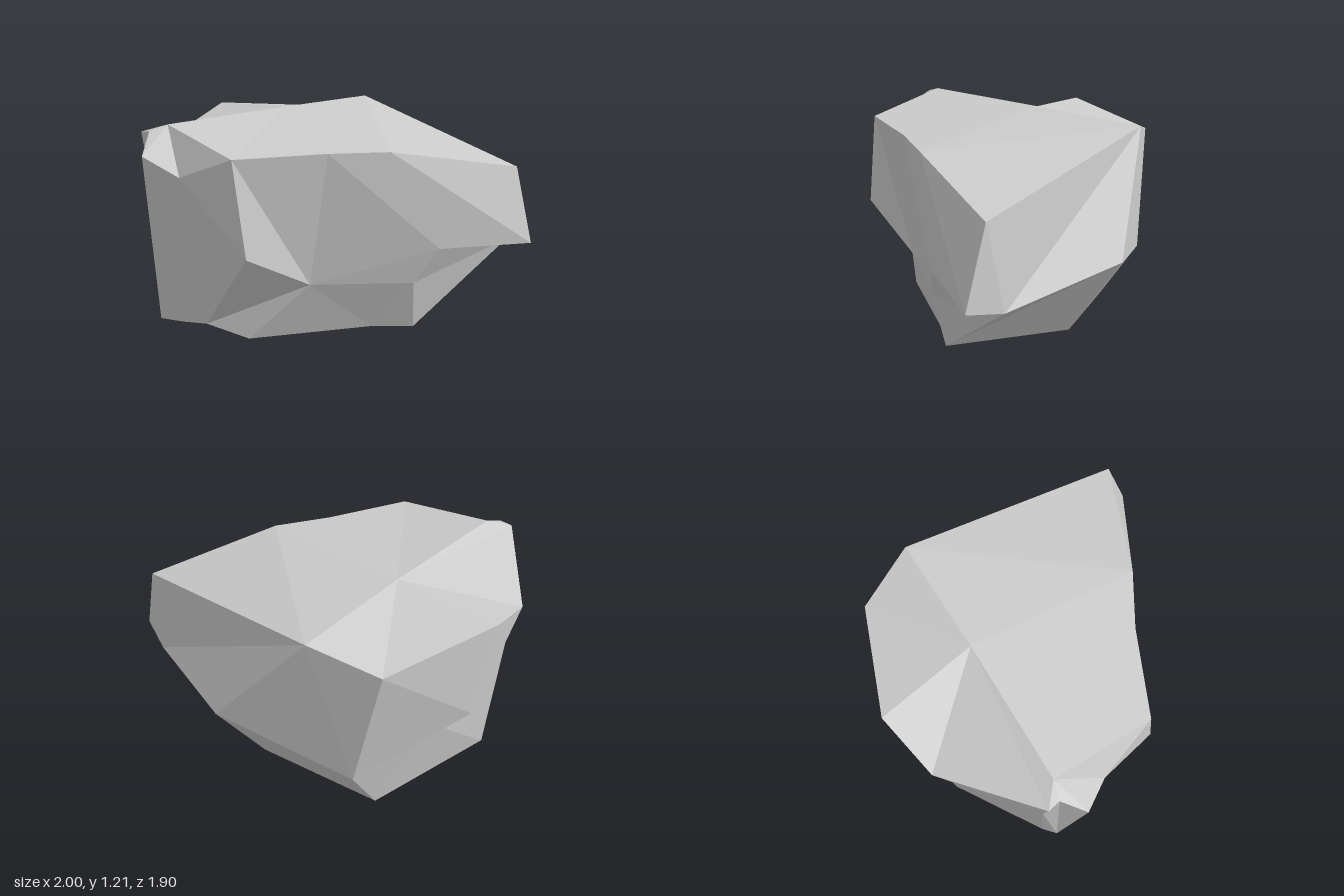
import * as THREE from 'three';

// Corner points of the boulder, grouped by height
const points = {
  // top face and its edge
  m: [-0.43, 1.2, -0.07],
  K: [-0.48, 1.18, 0.84], A: [-0.45, 1.21, 0.74], B: [0.14, 1.13, 0.74], C: [0.36, 1.125, 0.29],
  D: [0.54, 1.12, 0.01], E: [0.86, 0.98, -0.67], F: [-0.43, 1.18, -0.76], G: [-0.78, 1.08, -0.62],
  H: [-1, 1.15, 0], I: [-0.935, 1.035, 0.36], J: [-0.55, 1.17, 0.85],
  // shoulders and waist
  L: [-0.38, 1.08, 0.95], O: [-0.2, 0.98, 0.84], M: [0.22, 0.61, 0.73], N: [0.27, 0.37, 0.34],
  P: [0.72, 0.57, -0.21], Q: [0.62, 0.36, -0.12], R: [1, 0.57, -0.66], S: [0.79, 0.515, -0.73],
  T: [0.06, 0.58, -0.95], U: [-0.66, 0.37, -0.68], V: [-0.98, 0.64, -0.12], W: [-0.79, 0.49, -0.19],
  X: [-0.88, 0.84, 0.35], Y: [-0.56, 0.9, 0.81],
  // foot and the edge of the open underside
  a: [-0.49, 0.05, 0.85], b: [-0.35, 0.06, 0.79], c: [-0.2, 0.08, 0.72], d: [0, 0.01, 0.57],
  e: [0.42, 0.055, 0], f: [0.58, 0.055, -0.18], g: [0.05, 0.08, -0.64], h: [-0.64, 0, -0.46],
  i: [-0.86, 0.07, 0.27], j: [-0.55, 0.05, 0.78], k: [-0.55, 0.035, 0.36], l: [-0.59, 0.05, -0.4],
};

// Vertical sections around the boulder, each: top, rim, shoulder, waist, foot, underside, inner lip.
// Repeated letters pinch a band to a point, which makes a triangular facet.
const sections = [
  'mAKaakk', 'mALaakk', 'mALbbkk', 'mAOcckk', 'mBOcckk', 'mBMMckk', 'mBNNckk', // front
  'mCNNddd', 'mDPQeee', 'FDPQfee', 'FERSfee', 'FESSfee', // +x side
  'FFSSfee', 'FFTTfee', 'mFTTggg', 'mGUUhhl', // back
  'mHVWhhl', 'mIVWhhl', 'mIXXikk', 'mJYYjkk', // -x side
];

function facetedGeometry() {
  const positions = [];
  const facet = (p, q, r) => {
    if (p === q || q === r || r === p) return;
    positions.push(...points[p], ...points[q], ...points[r]);
  };
  sections.forEach((section, s) => {
    const next = sections[(s + 1) % sections.length];
    for (let n = 0; n < section.length - 1; n++) {
      facet(section[n], section[n + 1], next[n + 1]);
      facet(section[n], next[n + 1], next[n]);
    }
  });
  const geometry = new THREE.BufferGeometry();
  geometry.setAttribute('position', new THREE.Float32BufferAttribute(positions, 3));
  geometry.computeVertexNormals();
  return geometry;
}

export function createModel() {
  const model = new THREE.Group();
  model.name = 'rock';
  // open shell, hollow from below
  const material = new THREE.MeshStandardMaterial({
    color: 0xcccccc, flatShading: true, side: THREE.DoubleSide,
  });
  const boulder = new THREE.Mesh(facetedGeometry(), material);
  boulder.name = 'boulder';
  model.add(boulder);
  return model;
}
